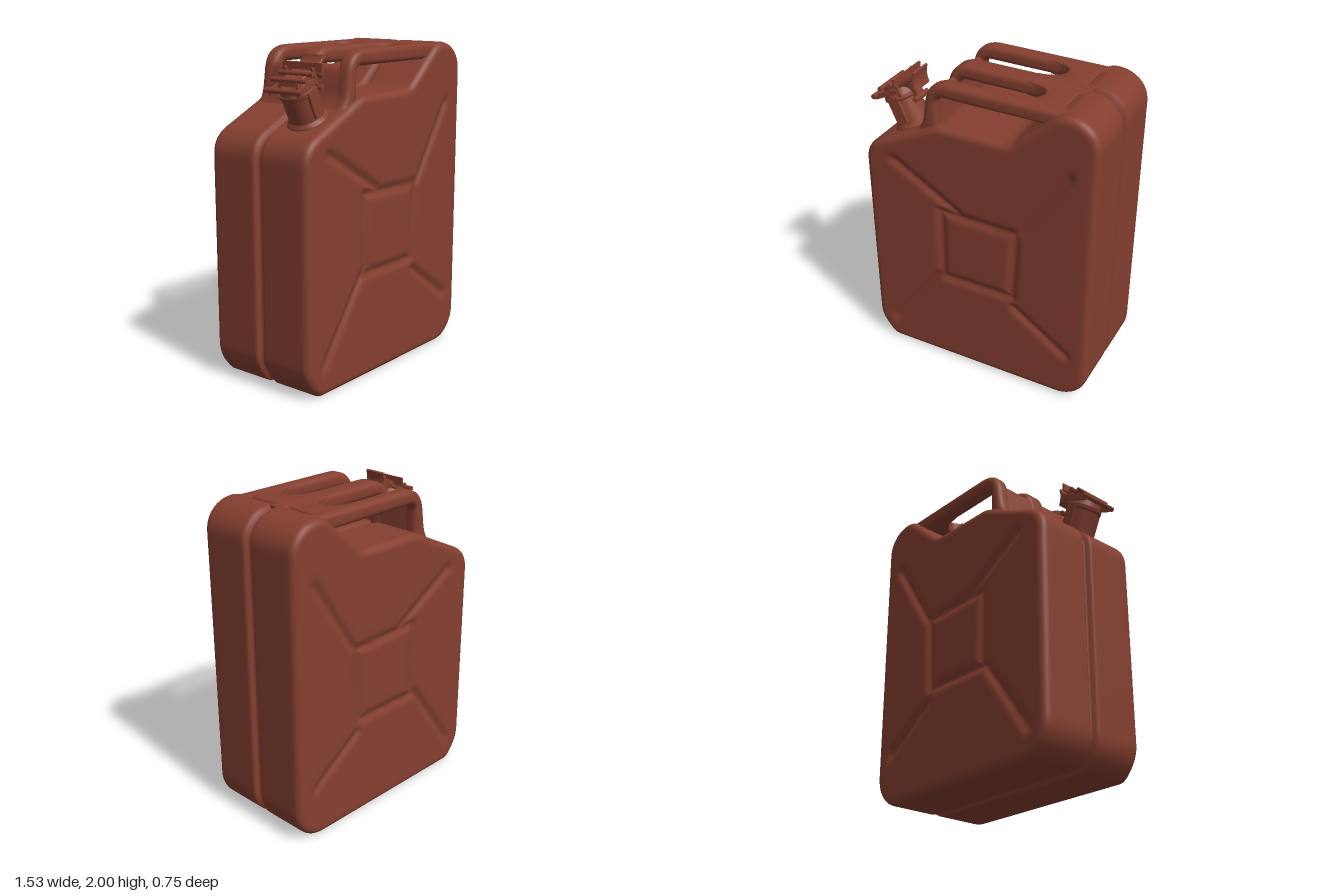
import * as THREE from 'three';
import { toCreasedNormals } from 'three/addons/utils/BufferGeometryUtils.js';

const paint = new THREE.MeshStandardMaterial({ color: 0x853f30 });
paint.name = 'red brown paint';

function add(parent, name, geo, x = 0, y = 0, z = 0) {
  const m = new THREE.Mesh(geo, paint);
  m.name = name;
  m.position.set(x, y, z);
  parent.add(m);
  return m;
}

// Extrusion along z, centred on z = 0, with rounded edges kept inside the shape
function slab(shape, width, bevel) {
  const geo = new THREE.ExtrudeGeometry(shape, {
    depth: width - 2 * bevel, bevelEnabled: true, bevelSize: bevel, bevelThickness: bevel,
    bevelOffset: -bevel, bevelSegments: 5, curveSegments: 12,
  });
  geo.translate(0, 0, -(width / 2 - bevel));
  return toCreasedNormals(geo, 0.7);
}

// Side outline of the can, counter-clockwise
function canOutline() {
  const s = new THREE.Shape();
  s.moveTo(-0.62, 0);
  s.lineTo(0.56, 0);
  s.bezierCurveTo(0.67, 0, 0.76, 0.09, 0.76, 0.21);
  s.lineTo(0.765, 1.82);
  s.bezierCurveTo(0.765, 1.92, 0.68, 2, 0.57, 2);
  s.quadraticCurveTo(0.51, 2, 0.46, 1.95);
  s.lineTo(0.24, 1.755);
  s.quadraticCurveTo(0.215, 1.735, 0.18, 1.735);
  s.lineTo(-0.25, 1.73);
  s.quadraticCurveTo(-0.31, 1.71, -0.38, 1.67);
  s.lineTo(-0.66, 1.54);
  s.quadraticCurveTo(-0.765, 1.49, -0.765, 1.38);
  s.lineTo(-0.765, 0.21);
  s.quadraticCurveTo(-0.765, 0.12, -0.69, 0.04);
  s.quadraticCurveTo(-0.66, 0, -0.62, 0);
  return s;
}

// Pressed grooves: a central frame and four diagonals, each [x1, y1, x2, y2]
const grooves = [
  [-0.24, 1.15, 0.27, 1.14], [0.27, 1.14, 0.24, 0.66], [0.24, 0.66, -0.24, 0.66], [-0.24, 0.66, -0.24, 1.15],
  [-0.56, 1.43, -0.12, 1.17], [0.6, 1.62, 0.3, 1.16], [-0.62, 0.18, -0.27, 0.66], [0.62, 0.33, 0.26, 0.58],
];
function pressDepth(x, y) {
  let d = 1;
  for (const [ax, ay, bx, by] of grooves) {
    const dx = bx - ax, dy = by - ay;
    const t = THREE.MathUtils.clamp(((x - ax) * dx + (y - ay) * dy) / (dx * dx + dy * dy), 0, 1);
    d = Math.min(d, Math.hypot(x - ax - t * dx, y - ay - t * dy));
  }
  return 0.02 * Math.exp(-((d / 0.028) ** 2));
}

// Can body: rings from the front centre, around the rim and seam, to the back centre
function bodyGeometry() {
  const pts = canOutline().getSpacedPoints(240);
  pts.pop();
  const n = pts.length, cx = 0.02, cy = 0.9, half = 0.373, r = 0.045;
  const inward = pts.map((p, i) => {
    const a = pts[(i + n - 1) % n], b = pts[(i + 1) % n];
    return new THREE.Vector2(a.y - b.y, b.x - a.x).normalize();
  });
  const rings = []; // { scale, inset, z }
  const steps = 50;
  for (let k = 0; k < steps; k++) rings.push({ scale: k / steps, inset: r, z: half, face: true });
  for (let k = 0; k <= 6; k++) {
    const a = (k / 6) * Math.PI / 2;
    rings.push({ scale: 1, inset: r * (1 - Math.sin(a)), z: half - r * (1 - Math.cos(a)) });
  }
  for (const [inset, z] of [[0, 0.3], [0, 0.05], [0, 0.036], [0.007, 0.026], [0.028, 0.018], [0.035, 0.012]])
    rings.push({ scale: 1, inset, z });
  rings.push(...rings.map((q) => ({ ...q, z: -q.z })).reverse());

  const pos = [], idx = [];
  for (const q of rings) {
    pts.forEach((p, i) => {
      const x = cx + (p.x + inward[i].x * q.inset - cx) * q.scale;
      const y = cy + (p.y + inward[i].y * q.inset - cy) * q.scale;
      pos.push(x, y, q.z - (q.face ? Math.sign(q.z) * pressDepth(x, y) : 0));
    });
  }
  for (let k = 0; k < rings.length - 1; k++) {
    for (let i = 0; i < n; i++) {
      const j = (i + 1) % n, a = k * n + i, b = a + n, c = (k + 1) * n + j, d = k * n + j;
      idx.push(a, b, c, a, c, d);
    }
  }
  const geo = new THREE.BufferGeometry();
  geo.setAttribute('position', new THREE.Float32BufferAttribute(pos, 3));
  geo.setIndex(idx);
  geo.computeVertexNormals();
  return geo;
}

// Arched handle bar seen from the front
function barShape() {
  const s = new THREE.Shape();
  s.moveTo(-0.43, 1.63);
  s.quadraticCurveTo(-0.37, 1.68, -0.358, 1.78);
  s.lineTo(-0.345, 1.87);
  s.bezierCurveTo(-0.33, 1.95, -0.28, 1.995, -0.18, 1.997);
  s.lineTo(0.56, 1.997);
  s.lineTo(0.56, 1.9);
  s.lineTo(-0.22, 1.9);
  s.quadraticCurveTo(-0.27, 1.9, -0.27, 1.85);
  s.lineTo(-0.27, 1.63);
  return s;
}

// Wall joining the feet of the three bars
function wallShape() {
  const s = new THREE.Shape();
  s.moveTo(-0.43, 1.63);
  s.quadraticCurveTo(-0.37, 1.68, -0.355, 1.78);
  s.lineTo(-0.345, 1.86);
  s.quadraticCurveTo(-0.335, 1.9, -0.3, 1.91);
  s.quadraticCurveTo(-0.275, 1.9, -0.275, 1.86);
  s.lineTo(-0.27, 1.63);
  return s;
}

// Filling behind the rounded end of a hand slot, drawn in plan
function slotEnd() {
  const s = new THREE.Shape();
  s.moveTo(0.18, -0.12);
  s.lineTo(0.5, -0.12);
  s.lineTo(0.5, 0.12);
  s.lineTo(0.18, 0.12);
  s.lineTo(0.18, 0.092);
  s.bezierCurveTo(0.385, 0.092, 0.385, -0.092, 0.18, -0.092);
  const geo = slab(s, 0.095, 0.015);
  geo.rotateX(-Math.PI / 2);
  return geo;
}

function handle() {
  const g = new THREE.Group();
  g.name = 'handle';
  for (const side of [-1, 1]) {
    add(g, 'outerHandleBar', slab(barShape(), 0.1, 0.035), 0, 0, side * 0.29);
    add(g, 'slotEnd', slotEnd(), 0, 1.947, side * 0.155);
  }
  add(g, 'middleHandleBar', slab(barShape(), 0.14, 0.035));
  add(g, 'handleWall', slab(wallShape(), 0.67, 0.03));
  return g;
}

// Filler neck with its clamped lid, leaning outward on the shoulder
function spout() {
  const g = new THREE.Group();
  g.name = 'spout';
  g.position.set(-0.52, 1.605, 0.17);
  g.rotation.z = 0.43;
  const rod = (name, r, len, x, y) => add(g, name, new THREE.CylinderGeometry(r, r, len, 14).rotateX(Math.PI / 2), x, y, 0);

  const neck = [[0.125, -0.03], [0.122, 0.005], [0.103, 0.025], [0.1, 0.17], [0.112, 0.18], [0.112, 0.2], [0, 0.2]];
  add(g, 'neck', toCreasedNormals(
    new THREE.LatheGeometry(neck.map(([x, y]) => new THREE.Vector2(x, y)), 36), 0.6));
  add(g, 'lid', toCreasedNormals(new THREE.CylinderGeometry(0.085, 0.105, 0.05, 36), 0.6), 0, 0.225, 0);

  // Lever plate curving over the lid and kicking up at its tip
  const lever = new THREE.Shape();
  lever.moveTo(-0.07, 0.235);
  lever.lineTo(-0.05, 0.275);
  lever.lineTo(0.1, 0.285);
  lever.quadraticCurveTo(0.17, 0.275, 0.2, 0.315);
  lever.lineTo(0.21, 0.305);
  lever.quadraticCurveTo(0.17, 0.26, 0.17, 0.2);
  lever.lineTo(0.14, 0.2);
  lever.quadraticCurveTo(0.12, 0.25, 0.07, 0.245);
  add(g, 'lever', slab(lever, 0.15, 0.006));

  // Side straps, hinge ears and latch plates
  for (const side of [-1, 1]) {
    add(g, 'strap', new THREE.BoxGeometry(0.075, 0.16, 0.018), 0, 0.12, side * 0.103);
    add(g, 'hingeEar', new THREE.BoxGeometry(0.17, 0.03, 0.016), -0.03, 0.235, side * 0.105);
    add(g, 'latchArm', new THREE.BoxGeometry(0.02, 0.11, 0.014), 0.06, 0.255, side * 0.1);
  }
  rod('hingePin', 0.016, 0.27, -0.105, 0.245);
  rod('clampPin', 0.014, 0.26, -0.04, 0.28);
  rod('leverPin', 0.014, 0.25, 0.03, 0.285);
  rod('latchPin', 0.016, 0.14, 0.125, 0.15);
  add(g, 'lockingBar', new THREE.BoxGeometry(0.012, 0.05, 0.29), 0.09, 0.295, 0).rotation.z = -0.43;
  add(g, 'latchHook', new THREE.BoxGeometry(0.03, 0.1, 0.07), 0.115, 0.18, 0);
  return g;
}

export function createModel() {
  const model = new THREE.Group();
  model.name = 'fuelCan';
  add(model, 'body', bodyGeometry());
  model.add(handle(), spout());
  return model;
}
